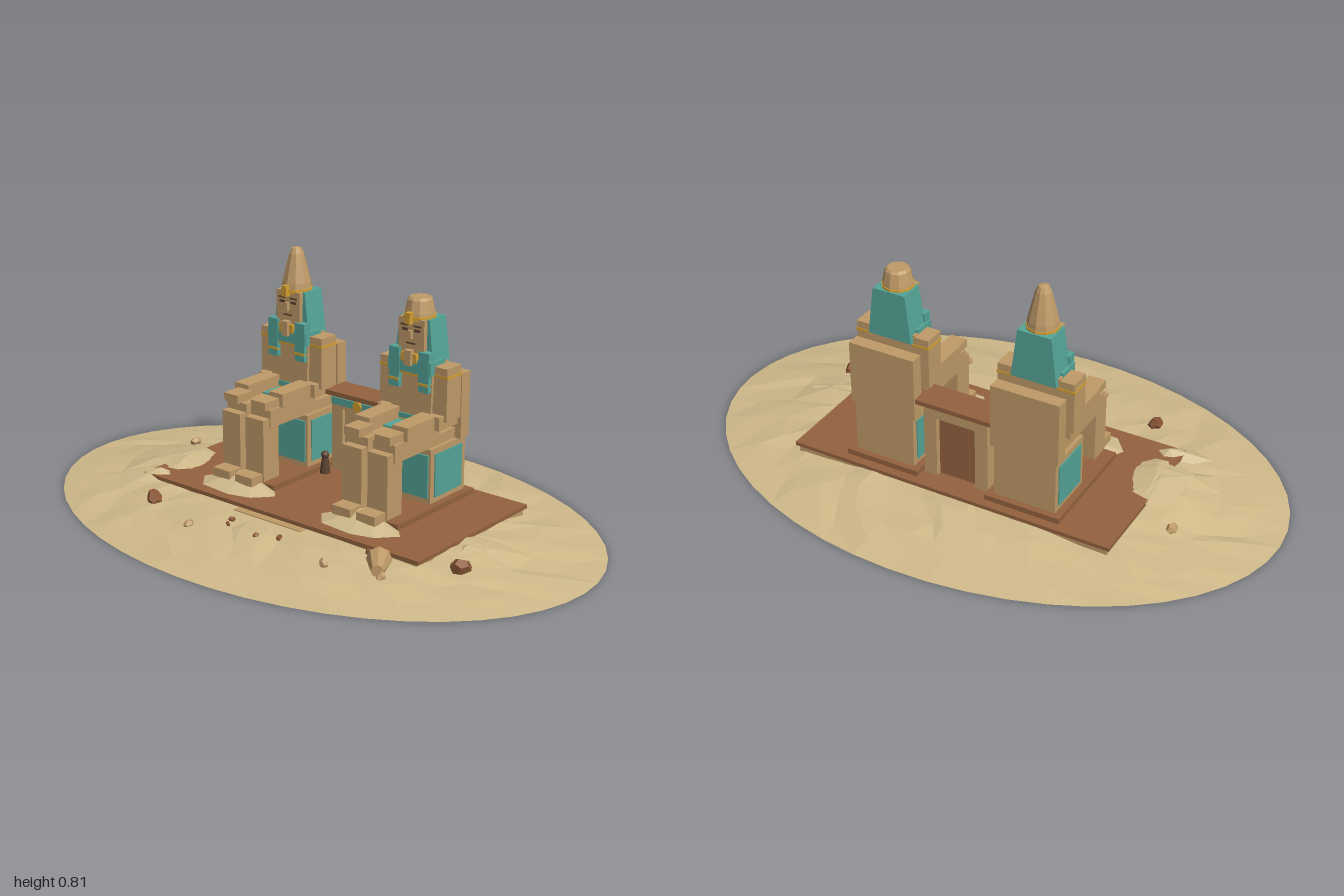
import * as THREE from 'three';

const mat = (name, color, extra = {}) => {
  const m = new THREE.MeshStandardMaterial({ color, flatShading: true, ...extra });
  m.name = name;
  return m;
};
const M = {
  sand: mat('sand', 0xd0ba8a, { side: THREE.DoubleSide }),
  drift: mat('paleDrift', 0xcfba8c, { side: THREE.DoubleSide }),
  stone: mat('sandstone', 0xc09b69),
  brown: mat('redBrownStone', 0x94633f),
  teal: mat('tealPaint', 0x55a598),
  gold: mat('goldPaint', 0xd6a032),
  dark: mat('darkStone', 0x5c4331),
  rock: mat('rubble', 0x8a5735),
};

function add(parent, name, geo, material, x = 0, y = 0, z = 0) {
  const m = new THREE.Mesh(geo, material);
  m.name = name;
  m.position.set(x, y, z);
  parent.add(m);
  return m;
}
// box given by its limits on each axis
function box(p, name, material, x0, x1, y0, y1, z0, z1) {
  return add(p, name, new THREE.BoxGeometry(x1 - x0, y1 - y0, z1 - z0), material,
    (x0 + x1) / 2, (y0 + y1) / 2, (z0 + z1) / 2);
}
// mirrored pair of boxes
function pair(p, name, material, x0, x1, ...rest) {
  box(p, name + 'Left', material, x0, x1, ...rest);
  box(p, name + 'Right', material, -x1, -x0, ...rest);
}
// box whose top is scaled in x and z
function taperBox(p, name, material, x0, x1, y0, y1, z0, z1, sx, sz) {
  const m = box(p, name, material, x0, x1, y0, y1, z0, z1);
  const a = m.geometry.attributes.position;
  for (let i = 0; i < a.count; i++)
    if (a.getY(i) > 0) a.setXYZ(i, a.getX(i) * sx, a.getY(i), a.getZ(i) * sz);
  m.geometry.computeVertexNormals();
  return m;
}
// low faceted heap: outline of [x, z] points rising to an apex
function heap(p, name, outline, y, apex) {
  const v = [];
  outline.forEach(([x, z], i) => {
    const [x2, z2] = outline[(i + 1) % outline.length];
    v.push(x, y, z, ...apex, x2, y, z2);
  });
  const g = new THREE.BufferGeometry();
  g.setAttribute('position', new THREE.Float32BufferAttribute(v, 3));
  g.computeVertexNormals();
  return add(p, name, g, M.drift);
}

let seed = 11;
const rnd = () => (seed = (seed * 16807) % 2147483647) / 2147483647;

// wind-blown mound, an open faceted shell
function groundHeight(x, z) {
  const r = Math.hypot(x, z / 0.68);
  const bump = (bx, bz, h, w) => h * Math.exp(-((x - bx) ** 2 + (z - bz) ** 2) / (w * w));
  return 0.047 * Math.min(1, Math.max(0, (1 - r) / 0.42)) +
    bump(-0.58, 0.07, 0.03, 0.13) + bump(0.61, 0.02, 0.018, 0.07);
}
function mound(root) {
  const rings = 9, seg = 48, v = [], idx = [];
  for (let i = 0; i <= rings; i++) for (let j = 0; j < seg; j++) {
    const r = i / rings, edge = i === rings;
    const a = (j + (edge || i === 0 ? 0 : (rnd() - 0.5) * 0.7)) / seg * Math.PI * 2;
    const x = r * Math.cos(a), z = r * 0.68 * Math.sin(a);
    v.push(x, edge ? 0 : groundHeight(x, z) + (r > 0.5 ? (rnd() - 0.5) * 0.013 : 0), z);
  }
  for (let i = 0; i < rings; i++) for (let j = 0; j < seg; j++) {
    const k = (j + 1) % seg, a = i * seg + j, b = i * seg + k;
    idx.push(a, b, a + seg, b, b + seg, a + seg);
  }
  const g = new THREE.BufferGeometry();
  g.setAttribute('position', new THREE.Float32BufferAttribute(v, 3));
  g.setIndex(idx);
  g.computeVertexNormals();
  add(root, 'sandMound', g, M.sand);
}

// seated colossus on a throne
function colossus(x, broken) {
  const g = new THREE.Group();
  g.name = broken ? 'brokenColossus' : 'crownedColossus';
  g.position.x = x;
  box(g, 'plinth', M.brown, -0.132, 0.132, 0.06, 0.082, -0.307, 0.1);
  box(g, 'throne', M.stone, -0.108, 0.108, 0.082, 0.265, -0.285, -0.1);
  box(g, 'throneBack', M.stone, -0.118, 0.118, 0.265, 0.485, -0.29, -0.245);
  pair(g, 'thronePanel', M.teal, 0.104, 0.112, 0.1, 0.245, -0.265, -0.12);
  box(g, 'throneFrontPanel', M.teal, -0.1, 0.1, 0.1, 0.245, -0.1, -0.094);
  box(g, 'cushion', M.stone, -0.095, 0.095, 0.265, 0.3, -0.245, -0.15);
  // legs and feet
  pair(g, 'foot', M.stone, 0.012, 0.085, 0.082, 0.112, 0.04, 0.155);
  pair(g, 'shin', M.stone, 0.012, 0.09, 0.085, 0.297, 0.025, 0.1);
  pair(g, 'thigh', M.stone, 0.01, 0.095, 0.265, 0.325, -0.16, 0.07);
  box(g, 'kilt', M.teal, -0.06, 0.06, 0.315, 0.33, -0.15, -0.05);
  // torso and belt
  taperBox(g, 'torso', M.stone, -0.075, 0.075, 0.3, 0.53, -0.22, -0.135, 1.1, 1);
  box(g, 'tealBelt', M.teal, -0.079, 0.079, 0.335, 0.352, -0.223, -0.13);
  box(g, 'goldBelt', M.gold, -0.077, 0.077, 0.318, 0.333, -0.222, -0.132);
  // arms resting on the lap
  pair(g, 'upperArm', M.stone, 0.078, 0.132, 0.35, 0.525, -0.22, -0.145);
  pair(g, 'elbow', M.stone, 0.07, 0.122, 0.325, 0.37, -0.22, -0.12);
  pair(g, 'forearm', M.stone, 0.045, 0.105, 0.325, 0.37, -0.14, 0.02);
  pair(g, 'hand', M.stone, 0.03, 0.09, 0.327, 0.355, 0.02, 0.09);
  pair(g, 'armBand', M.gold, 0.076, 0.134, 0.492, 0.5, -0.222, -0.143);
  // collar and headcloth
  box(g, 'collar', M.teal, -0.083, 0.083, 0.495, 0.54, -0.2, -0.122);
  box(g, 'collarTrim', M.gold, -0.07, 0.07, 0.487, 0.496, -0.16, -0.124);
  pair(g, 'lappet', M.teal, 0.038, 0.078, 0.44, 0.57, -0.15, -0.119);
  pair(g, 'lappetTip', M.gold, 0.038, 0.078, 0.462, 0.47, -0.15, -0.116);
  taperBox(g, 'headcloth', M.teal, -0.078, 0.078, 0.505, 0.67, -0.235, -0.145, 0.74, 0.95);
  // head and face
  box(g, 'head', M.stone, -0.05, 0.05, 0.555, 0.67, -0.2, -0.13);
  box(g, 'nose', M.stone, -0.007, 0.007, 0.605, 0.632, -0.13, -0.117);
  pair(g, 'eye', M.dark, 0.013, 0.035, 0.629, 0.637, -0.131, -0.127);
  pair(g, 'brow', M.dark, 0.011, 0.039, 0.645, 0.65, -0.131, -0.126);
  box(g, 'mouth', M.dark, -0.018, 0.018, 0.587, 0.592, -0.131, -0.127);
  pair(g, 'beardStripe', M.gold, 0.016, 0.03, 0.53, 0.56, -0.135, -0.117);
  box(g, 'beard', M.stone, -0.013, 0.013, 0.52, 0.57, -0.14, -0.11);
  // crown with gold band and brow ornament
  add(g, 'crownBand', new THREE.CylinderGeometry(0.054, 0.054, 0.014, 10), M.gold, 0, 0.67, -0.175);
  const profile = broken
    ? [[0.052, 0.67], [0.05, 0.685], [0.041, 0.725], [0.034, 0.733], [0, 0.733]]
    : [[0.052, 0.67], [0.049, 0.695], [0.036, 0.75], [0.025, 0.792], [0.017, 0.809], [0, 0.814]];
  add(g, broken ? 'brokenCrown' : 'tallCrown',
    new THREE.LatheGeometry(profile.map(p => new THREE.Vector2(...p)), 10), M.stone, 0, 0, -0.175);
  box(g, 'browOrnament', M.gold, -0.009, 0.009, 0.655, 0.692, -0.132, -0.109);
  // sand gathered around the feet
  heap(g, 'footDrift', [[-0.14, 0.14], [-0.1, 0.07], [-0.02, 0.0], [0.1, 0.06], [0.165, 0.13],
    [0.11, 0.19], [0.03, 0.212], [-0.09, 0.2]], 0.063, [0.005, 0.108, 0.1]);
  return g;
}

// gateway between the colossi
function gateway(root) {
  const g = new THREE.Group();
  g.name = 'gateway';
  root.add(g);
  pair(g, 'jamb', M.stone, 0.07, 0.115, 0.06, 0.29, -0.27, -0.19);
  box(g, 'lintel', M.stone, -0.115, 0.115, 0.283, 0.326, -0.27, -0.19);
  box(g, 'door', M.stone, -0.07, 0.07, 0.06, 0.283, -0.225, -0.205);
  box(g, 'backDoor', M.brown, -0.07, 0.07, 0.06, 0.283, -0.25, -0.225);
  box(g, 'roof', M.brown, -0.15, 0.15, 0.326, 0.342, -0.285, -0.178);
  box(g, 'paintedBand', M.teal, -0.112, 0.112, 0.296, 0.32, -0.192, -0.184);
  const disc = add(g, 'sunDisc', new THREE.CylinderGeometry(0.017, 0.017, 0.009, 12), M.gold, 0, 0.308, -0.182);
  disc.rotation.x = Math.PI / 2;
  for (const y of [0.11, 0.208]) box(g, 'doorStripe', M.teal, -0.062, 0.055, y, y + 0.02, -0.206, -0.201);
  box(g, 'doorHandle', M.brown, 0.028, 0.038, 0.155, 0.185, -0.206, -0.196);
  // guardian figures
  for (const x of [-0.103, 0.103]) {
    add(g, 'guardianBody', new THREE.CylinderGeometry(0.011, 0.018, 0.055, 8), M.dark, x, 0.09, -0.14);
    add(g, 'guardianHead', new THREE.IcosahedronGeometry(0.014, 1), M.dark, x, 0.127, -0.14);
  }
}

export function createModel() {
  const root = new THREE.Group();
  root.name = 'desertTemple';
  mound(root);
  box(root, 'foundation', M.stone, -0.565, 0.565, 0.002, 0.05, -0.33, 0.24);
  box(root, 'terrace', M.brown, -0.575, 0.575, 0.05, 0.063, -0.337, 0.245);
  for (let i = 0; i < 3; i++)
    box(root, 'step' + (i + 1), M.stone, -0.142, 0.138, 0.01, 0.05 - i * 0.012, 0.24, 0.272 + i * 0.027);
  root.add(colossus(-0.255, false), colossus(0.255, true));
  gateway(root);
  // sand drifts over the terrace corners
  heap(root, 'leftDrift', [[-0.66, 0.26], [-0.57, 0.17], [-0.51, 0.15], [-0.45, 0.2], [-0.5, 0.25], [-0.57, 0.29]],
    0.045, [-0.53, 0.08, 0.21]);
  heap(root, 'leftEdgeDrift', [[-0.65, 0], [-0.58, -0.08], [-0.5, -0.06], [-0.51, 0.06], [-0.5, 0.14], [-0.56, 0.17], [-0.65, 0.14]],
    0.06, [-0.57, 0.078, 0.05]);
  heap(root, 'rightDrift', [[0.56, 0.03], [0.58, -0.02], [0.75, 0], [0.62, 0.165]], 0.035, [0.61, 0.06, 0.04]);
  // scattered rubble: x, z, size, material
  const stones = [[-0.69, -0.125, 0.021, M.stone], [-0.41, 0.36, 0.03, M.rock], [-0.18, 0.44, 0.018, M.stone],
    [0.67, 0.16, 0.036, M.rock], [0.34, 0.4, 0.019, M.stone], [0.52, 0.355, 0.018, M.stone],
    [-0.09, 0.335, 0.011, M.rock], [-0.075, 0.37, 0.009, M.rock], [0.055, 0.385, 0.011, M.rock],
    [0.12, 0.35, 0.012, M.rock], [0.4, 0.26, 0.012, M.rock]];
  stones.forEach(([x, z, s, m], i) => {
    const r = add(root, 'rubble' + (i + 1), new THREE.DodecahedronGeometry(s), m, x, groundHeight(x, z) + s * 0.3, z);
    r.scale.set(1.1, 0.75, 0.85);
    r.rotation.set(rnd() * 3, rnd() * 3, rnd() * 3);
  });
  // fallen crown tip
  const tip = add(root, 'fallenCrownTip', new THREE.CylinderGeometry(0.02, 0.04, 0.09, 8), M.stone, 0.48, 0.05, 0.315);
  tip.rotation.set(Math.PI / 2, 0, -0.6, 'YXZ');
  return root;
}
